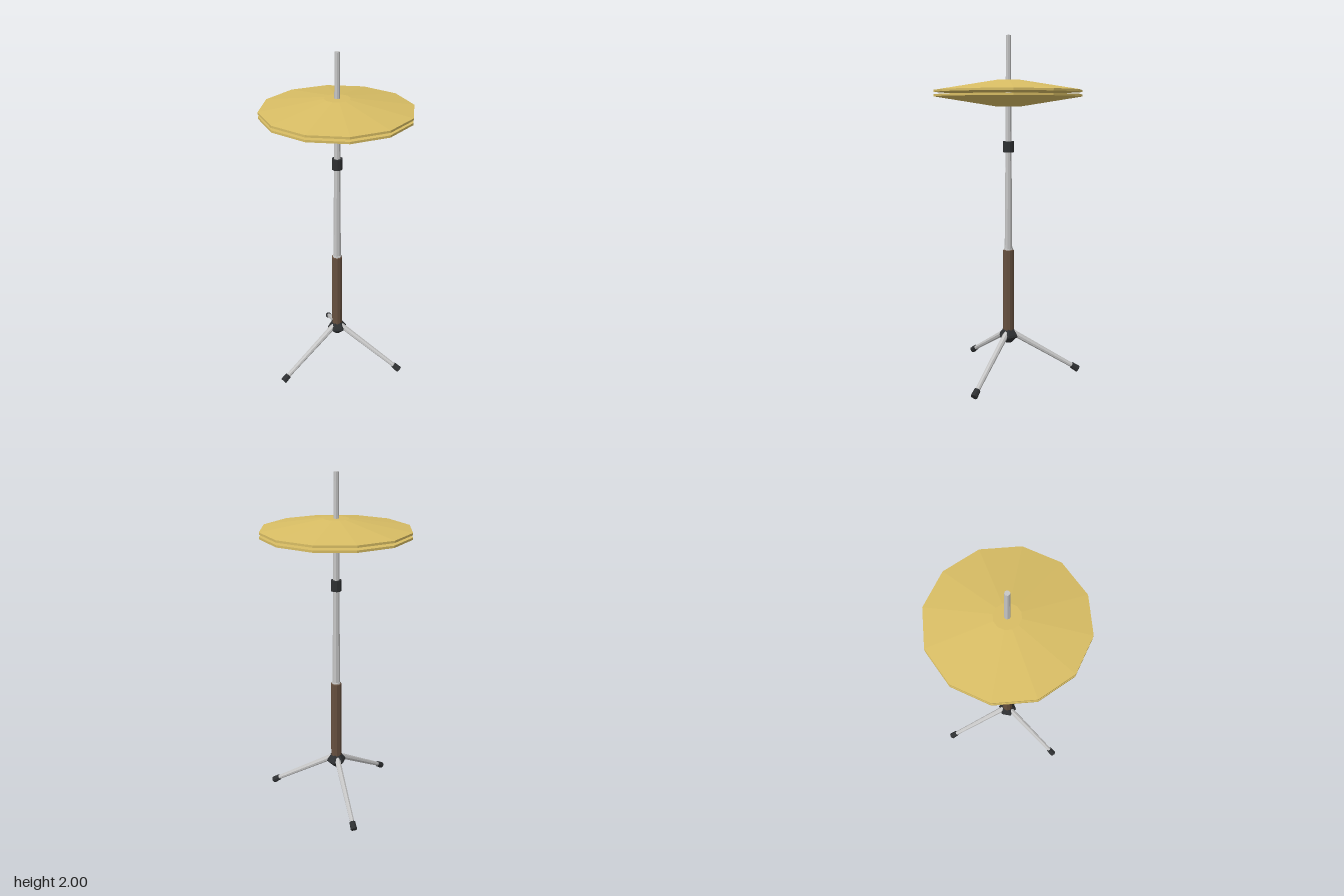
import * as THREE from 'three';

const mat = (name, color) => {
  const m = new THREE.MeshStandardMaterial({ color, flatShading: true });
  m.name = name;
  return m;
};

export function createModel() {
  const gold = mat('brass', 0xd8bd64);
  const silver = mat('steel', 0xc6c6c6);
  const black = mat('black rubber', 0x2e3032);
  const brown = mat('brown grip', 0x66503f);

  const model = new THREE.Group();
  model.name = 'cymbalStand';
  const stand = new THREE.Group();
  stand.name = 'stand';
  stand.position.x = 0.004;
  model.add(stand);

  const add = (name, geometry, material) => {
    const mesh = new THREE.Mesh(geometry, material);
    mesh.name = name;
    stand.add(mesh);
    return mesh;
  };
  // Turned part from [radius, height] pairs, listed bottom to top
  const turned = (name, profile, sides, material) =>
    add(name, new THREE.LatheGeometry(profile.map(([r, y]) => new THREE.Vector2(r, y)), sides), material);
  // Tapered rod between two points
  const rod = (name, a, b, ra, rb, sides, material) => {
    const dir = b.clone().sub(a);
    const mesh = add(name, new THREE.CylinderGeometry(rb, ra, dir.length(), sides), material);
    mesh.position.copy(a).add(b).multiplyScalar(0.5);
    mesh.quaternion.setFromUnitVectors(new THREE.Vector3(0, 1, 0), dir.normalize());
  };

  // Upright: grip, tubes and clamp
  turned('gripTube', [[0, 0.27], [0.032, 0.27], [0.032, 0.765], [0.028, 0.768], [0, 0.768]], 10, brown);
  turned('gripRing', [[0, 0.76], [0.028, 0.76], [0.026, 0.776], [0, 0.776]], 10, silver);
  turned('lowerTube', [[0, 0.76], [0.023, 0.76], [0.018, 1.36], [0, 1.36]], 8, silver);
  turned('clamp', [[0, 1.342], [0.031, 1.342], [0.031, 1.405], [0, 1.405]], 10, black);
  turned('upperRod', [[0, 1.39], [0.019, 1.39], [0.014, 2], [0, 2]], 8, silver);

  // Facing pair of cymbals with a narrow gap
  turned('topCymbal', [[0, 1.684], [0.425, 1.684], [0.425, 1.696], [0.072, 1.752], [0, 1.752]], 12, gold);
  turned('bottomCymbal', [[0, 1.603], [0.072, 1.603], [0.425, 1.659], [0.425, 1.671], [0, 1.671]], 12, gold);

  // Tripod hub
  turned('hub', [[0, 0.196], [0.02, 0.2], [0.06, 0.24], [0.056, 0.252], [0.03, 0.286], [0, 0.286]], 6, black);

  // Three splayed legs with rubber feet
  for (let i = 0; i < 3; i++) {
    const angle = Math.PI + (i * Math.PI * 2) / 3;
    const at = (r, y) => new THREE.Vector3(r * Math.cos(angle), y, r * Math.sin(angle));
    rod('leg', at(0.02, 0.262), at(0.4, 0.035), 0.018, 0.013, 8, silver);
    rod('foot', at(0.385, 0.044), at(0.424, 0.018), 0.018, 0.02, 8, black);
  }
  return model;
}
